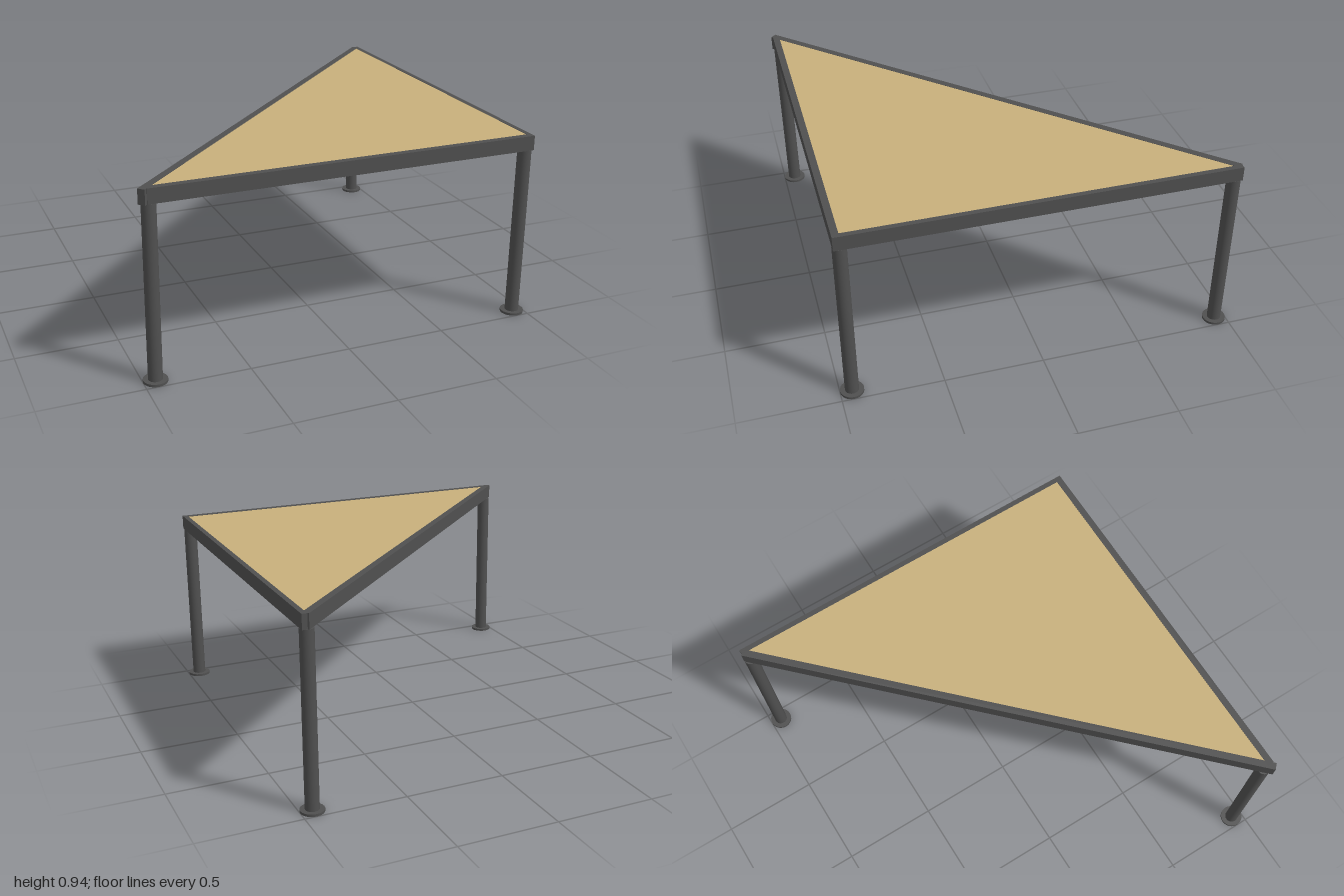
import * as THREE from 'three';

const steel = new THREE.MeshStandardMaterial({ color: 0x505050 });
const wood = new THREE.MeshStandardMaterial({ color: 0xc8b07c });

const FRAME_BOTTOM = 0.87, FRAME_TOP = 0.943;

// Rail of the frame running between two points [x, z]
function rail(name, a, b, width) {
  const dx = b[0] - a[0], dz = b[1] - a[1];
  const height = FRAME_TOP - FRAME_BOTTOM;
  const mesh = new THREE.Mesh(new THREE.BoxGeometry(Math.hypot(dx, dz), height, width), steel);
  mesh.position.set((a[0] + b[0]) / 2, FRAME_BOTTOM + height / 2, (a[1] + b[1]) / 2);
  mesh.rotation.y = -Math.atan2(dz, dx);
  mesh.name = name;
  return mesh;
}

// Round post with a flat disc foot
function leg(name, x, z) {
  const group = new THREE.Group();
  group.name = name;
  const post = new THREE.Mesh(new THREE.CylinderGeometry(0.034, 0.034, FRAME_BOTTOM, 24), steel);
  post.position.y = FRAME_BOTTOM / 2;
  post.name = 'post';
  const foot = new THREE.Mesh(new THREE.CylinderGeometry(0.058, 0.058, 0.012, 24), steel);
  foot.position.y = 0.006;
  foot.name = 'foot';
  group.add(post, foot);
  group.position.set(x, 0, z);
  return group;
}

export function createModel() {
  const model = new THREE.Group();
  model.name = 'triangularTable';

  // Legs, one under each corner
  model.add(
    leg('frontLeftLeg', 0.942, 0.942),
    leg('frontRightLeg', -0.942, 0.942),
    leg('backLeftLeg', 0.942, -0.942),
  );

  // Rails along the three edges
  model.add(
    rail('frontRail', [-0.955, 0.957], [0.973, 0.957], 0.034),
    rail('sideRail', [0.961, 0.973], [0.961, -0.973], 0.026),
    rail('diagonalRail', [-0.98, 0.97], [0.955, -0.965], 0.036),
  );

  // Triangular panel filling the frame; shape y becomes -z
  const shape = new THREE.Shape();
  shape.moveTo(-0.93, -0.942);
  shape.lineTo(0.95, -0.942);
  shape.lineTo(0.95, 0.938);
  shape.closePath();
  const bottom = FRAME_BOTTOM - 0.004;
  const panelGeometry = new THREE.ExtrudeGeometry(shape, { depth: FRAME_TOP - 0.001 - bottom, bevelEnabled: false });
  panelGeometry.rotateX(-Math.PI / 2);
  const panel = new THREE.Mesh(panelGeometry, wood);
  panel.position.y = bottom;
  panel.name = 'tabletop';
  model.add(panel);

  return model;
}
